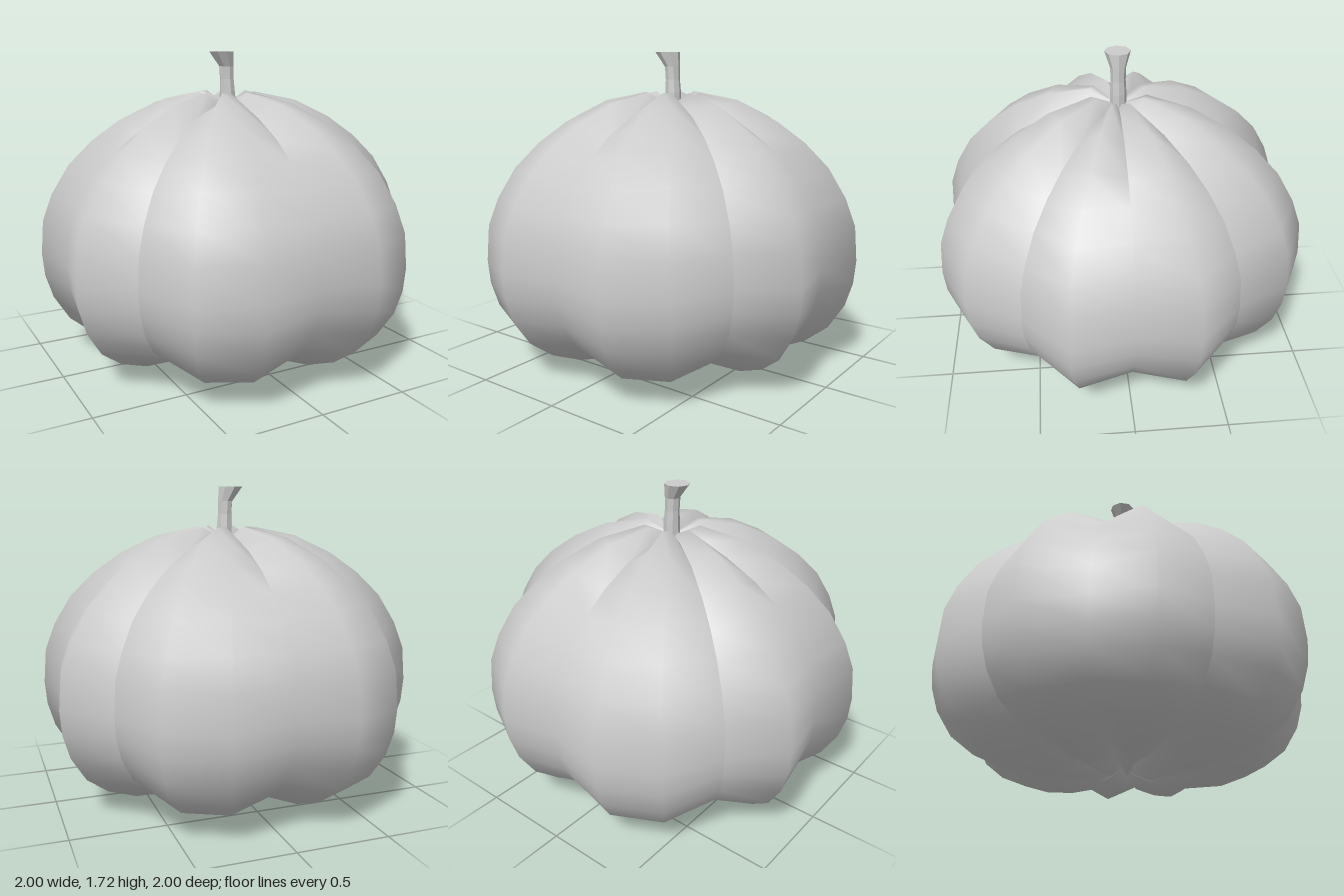
import * as THREE from 'three';

const material = new THREE.MeshStandardMaterial({ color: 0xcccccc });

// Rib crest profile as [radius, height], bottom to top
const CREST = [
  [0, 0], [0.155, 0], [0.395, 0.013], [0.62, 0.05], [0.79, 0.12], [0.915, 0.215], [1.0, 0.35],
  [1.04, 0.48], [1.0515, 0.61], [1.036, 0.8], [0.98, 0.95], [0.883, 1.11], [0.753, 1.24],
  [0.6, 1.35], [0.395, 1.45], [0.155, 1.5], [0, 1.5],
];
const MID_Y = 0.75;
const GROOVE = 0.905; // grooves are the crest profile shrunk towards the centre

// A lobe holds two ribs: grooves at both sides and along its middle
function makeLobe(startDeg, steps) {
  const positions = [], index = [];
  const mid = steps / 2;
  const columns = [];
  for (let s = 0; s <= steps; s++) {
    columns.push(s);
    if (s === mid) columns.push(s); // second copy lets the groove be sharp near the poles
  }
  const last = CREST.length - 1;
  CREST.forEach(([r, y], i) => {
    for (const s of columns) {
      const a = THREE.MathUtils.degToRad(startDeg + s * 18);
      const groove = s === 0 || s === mid || s === steps || i === 0 || i === last;
      const k = groove ? GROOVE : 1;
      positions.push(r * k * Math.cos(a), MID_Y + (y - MID_Y) * k, r * k * Math.sin(a));
    }
  });
  const n = columns.length;
  const at = (i, c) => {
    const smooth = i > 3 && i < last - 3;
    return i * n + (c === mid + 1 && smooth ? mid : c);
  };
  for (let i = 0; i < last; i++) {
    for (let c = 0; c < n - 1; c++) {
      if (c === mid) continue;
      const p = at(i, c), q = at(i, c + 1), u = at(i + 1, c), v = at(i + 1, c + 1);
      if (i < last - 1) index.push(p, u, v);
      else index.push(p, u, q);
      if (i > 0 && i < last - 1) index.push(p, v, q);
    }
  }
  const geo = new THREE.BufferGeometry();
  geo.setAttribute('position', new THREE.Float32BufferAttribute(positions, 3));
  geo.setIndex(index);
  geo.computeVertexNormals();
  return geo;
}

// Eight-sided stem that leans sideways and flares at the cut end
function makeStem() {
  const rows = [ // [height, centre x, radius], top to bottom
    [1.72, -0.03, 0.07], [1.64, 0.002, 0.042], [1.57, 0.005, 0.04], [1.5, 0.008, 0.044], [1.41, 0.008, 0.046],
  ];
  const geo = new THREE.CylinderGeometry(1, 1, 4, 8, 4);
  const p = geo.attributes.position;
  for (let i = 0; i < p.count; i++) {
    const [y, cx, r] = rows[Math.round(2 - p.getY(i))];
    p.setXYZ(i, cx + p.getX(i) * r, y, p.getZ(i) * r);
  }
  geo.computeVertexNormals();
  const mat = material.clone();
  mat.flatShading = true;
  return new THREE.Mesh(geo, mat);
}

export function createModel() {
  const model = new THREE.Group();
  model.name = 'pumpkin';

  // Ribbed body: narrow lobes on the sides, wide lobes front and back
  const body = new THREE.Group();
  body.name = 'body';
  const lobes = [['leftLobe', -36, 4], ['frontLobe', 36, 6], ['rightLobe', 144, 4], ['backLobe', 216, 6]];
  for (const [name, start, steps] of lobes) {
    const lobe = new THREE.Mesh(makeLobe(start, steps), material);
    lobe.name = name;
    body.add(lobe);
  }
  model.add(body);

  const stem = makeStem();
  stem.name = 'stem';
  model.add(stem);
  return model;
}
